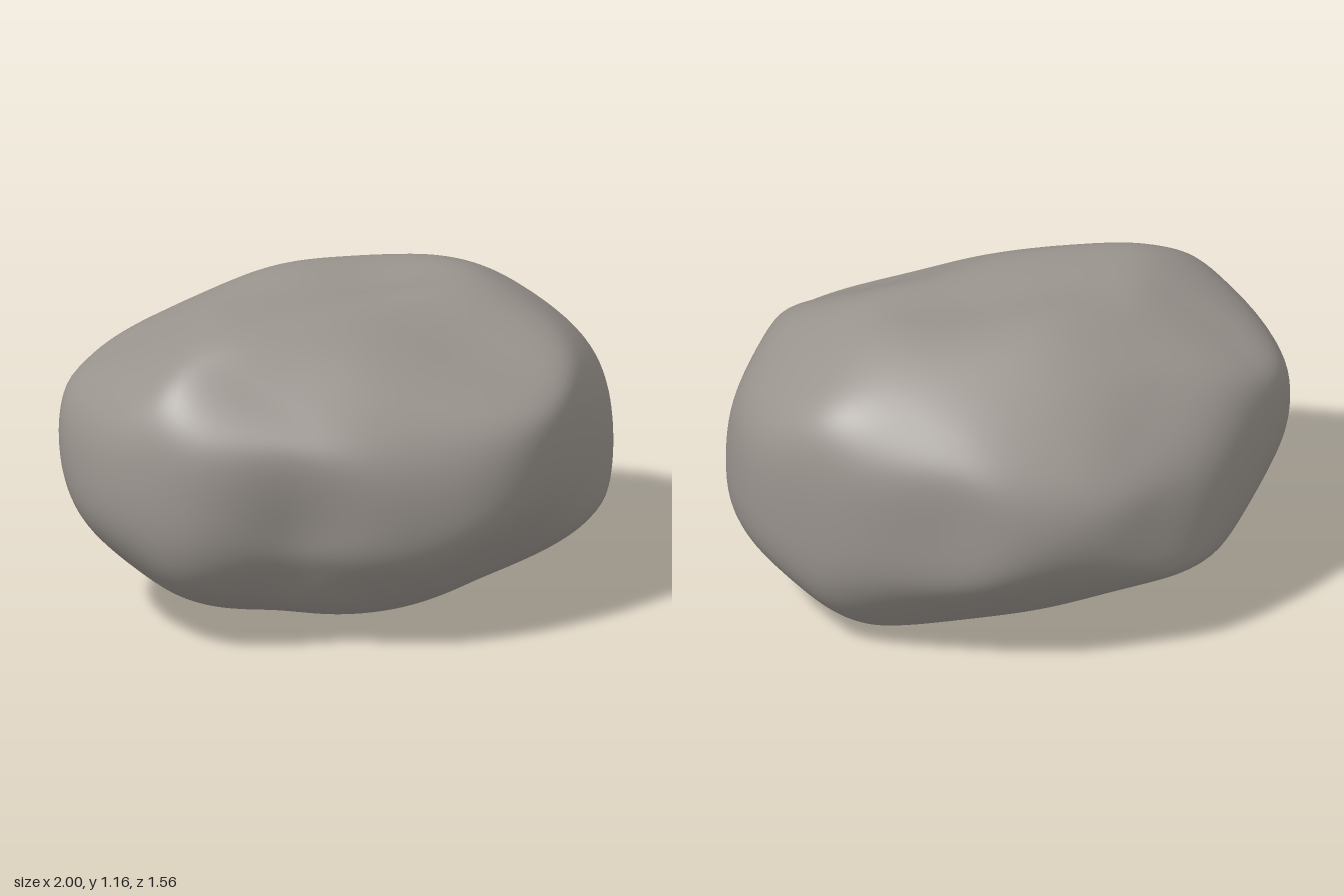
import * as THREE from 'three';
import { mergeVertices } from 'three/addons/utils/BufferGeometryUtils.js';

const MID = 0.59; // height of the boulder's middle
const TILT = THREE.MathUtils.degToRad(27);
const S = Math.sin(TILT), C = Math.cos(TILT), D = Math.SQRT1_2;

// Cross directions of the boulder: two axes and the radius at every 30 degrees between them
const outline = (right, up, radii) => ({
  right: new THREE.Vector3(...right), up: new THREE.Vector3(...up), radii,
});
const outlines = [
  // width, depth and plan
  outline([1, 0, 0], [0, 1, 0], [1, .9, .667, .585, .64, .885, 1, .83, .6, .55, .67, .93]),
  outline([0, 0, -1], [0, 1, 0], [.765, .7, .65, .57, .645, .71, .78, .75, .62, .585, .62, .68]),
  outline([1, 0, 0], [0, 0, 1], [1, .94, .84, .78, .765, .94, 1, .875, .77, .785, .75, .88]),
  // tilted diagonals: front, back and underside
  outline([D, 0, -D], [-S * D, C, -S * D], [.88, .745, .655, .64, .72, .935, .905, .73, .67, .65, .755, .91]),
  outline([-D, 0, D], [S * D, C, S * D], [.945, .735, .635, .63, .79, .91, .875, .73, .625, .612, .715, .875]),
  outline([-D, 0, -D], [S * D, C, -S * D], [.82, .69, .645, .68, .78, .9, .87, .74, .685, .643, .745, .82]),
];

// Smooth radius of a closed outline at any angle
function radiusAt(radii, angle) {
  const n = radii.length;
  const t = (angle / (2 * Math.PI) + 1) * n;
  const i = Math.floor(t), f = t - i;
  const [a, b, c, d] = [-1, 0, 1, 2].map((k) => radii[(i + k + n) % n]);
  return b + 0.5 * f * (c - a + f * (2 * a - 5 * b + 4 * c - d + f * (3 * (b - c) + d - a)));
}

// Shallow hollows: place, reach, depth
const hollow = (x, y, z, reach, depth) => ({ at: new THREE.Vector3(x, y, z), reach, depth });
const hollows = [
  hollow(-.42, -.19, .66, .24, .06),
  hollow(.2, .54, 0, .26, .025),
  hollow(.62, -.29, .5, .25, .02),
];

function boulderGeometry() {
  let geometry = new THREE.IcosahedronGeometry(1, 36);
  geometry.deleteAttribute('normal');
  geometry.deleteAttribute('uv');
  geometry = mergeVertices(geometry, 1e-4);

  const position = geometry.attributes.position;
  const d = new THREE.Vector3(), p = new THREE.Vector3();
  const sharpness = 30;

  // Push each vertex out to the softened intersection of all outlines
  for (let i = 0; i < position.count; i++) {
    d.fromBufferAttribute(position, i).normalize();
    let sum = 0;
    for (const { right, up, radii } of outlines) {
      const a = d.dot(right), b = d.dot(up);
      sum += (Math.hypot(a, b) / radiusAt(radii, Math.atan2(b, a))) ** sharpness;
    }
    let r = (sum / 2) ** (-1 / sharpness);
    p.copy(d).multiplyScalar(r);
    // hollows and faint lumps
    for (const h of hollows) r -= h.depth * Math.exp(-p.distanceToSquared(h.at) / h.reach ** 2);
    r += .005 * Math.sin(9 * p.x + 4 * p.y) * Math.sin(8 * p.z - 5 * p.y);
    p.copy(d).multiplyScalar(r);
    position.setXYZ(i, p.x, p.y + MID, p.z);
  }
  geometry.computeVertexNormals();
  return geometry;
}

export function createModel() {
  const group = new THREE.Group();
  group.name = 'rock';
  const boulder = new THREE.Mesh(boulderGeometry(), new THREE.MeshStandardMaterial({ color: 0x9a948e }));
  boulder.name = 'boulder';
  group.add(boulder);
  return group;
}
